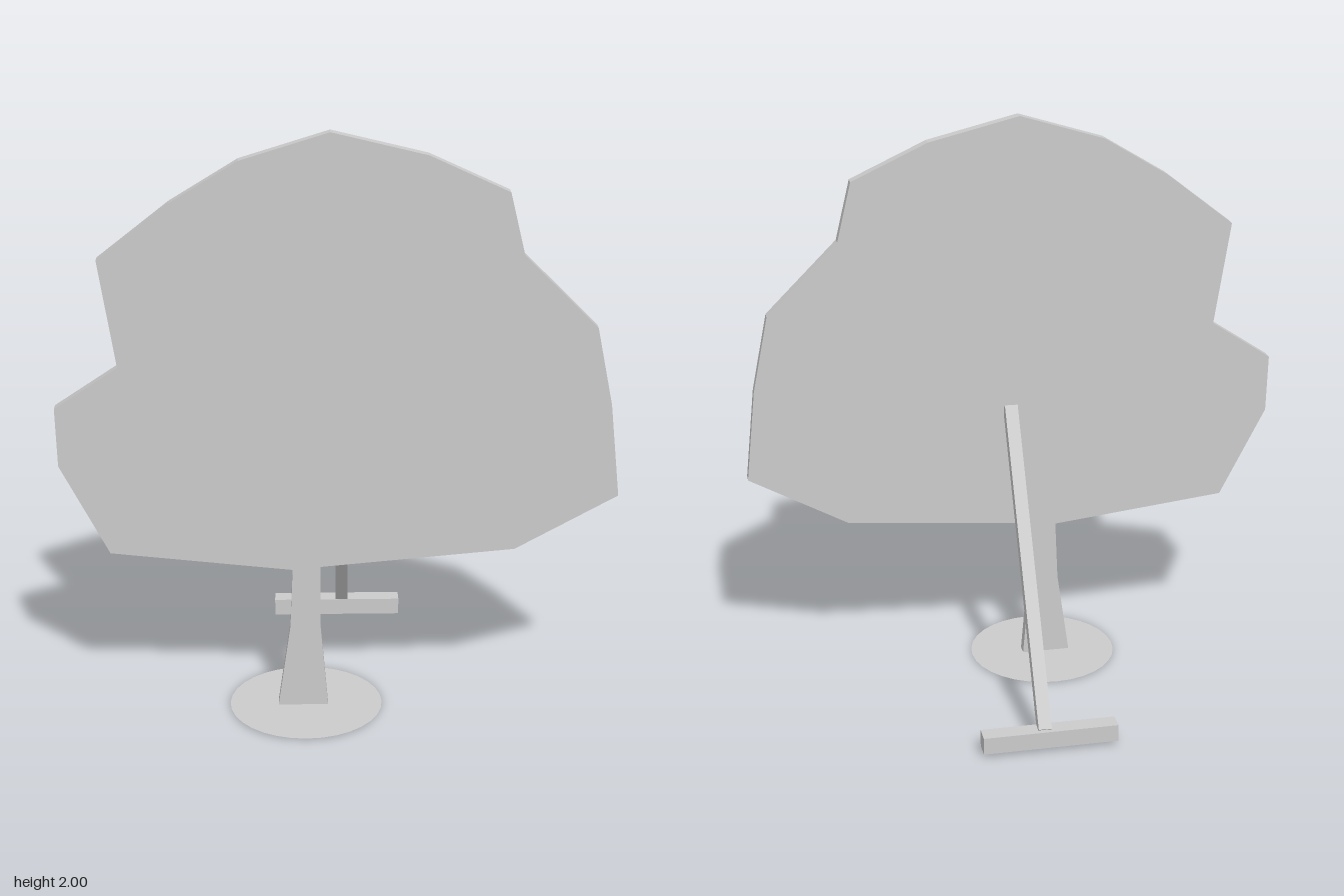
import * as THREE from 'three';

const grey = new THREE.MeshStandardMaterial({ color: 0xcccccc, flatShading: true });
const thinGrey = new THREE.MeshStandardMaterial({ color: 0xcccccc, side: THREE.DoubleSide });

const PANEL_Z = 0.23;
const PANEL_DEPTH = 0.04;

function addMesh(group, name, geometry, material = grey) {
  const mesh = new THREE.Mesh(geometry, material);
  mesh.name = name;
  group.add(mesh);
  return mesh;
}

// Square bar running between two points
function addBar(group, name, from, to, width) {
  const along = to.clone().sub(from);
  const bar = addMesh(group, name, new THREE.BoxGeometry(width, width, along.length()));
  bar.position.copy(from).addScaledVector(along, 0.5);
  bar.lookAt(to);
  return bar;
}

export function createModel() {
  const model = new THREE.Group();
  model.name = 'treeCutout';

  // Flat tree outline: trunk and crown cut from one board
  const trunkRight = [[-0.21, 0], [-0.04, 0], [-0.065, 0.3], [-0.065, 0.52]];
  const crown = [
    [0.585, 0.58], [0.925, 0.77], [0.89, 1.09], [0.835, 1.355], [0.59, 1.6],
    [0.54, 1.805], [0.28, 1.925], [-0.03, 2], [-0.32, 1.91], [-0.54, 1.775],
    [-0.775, 1.59], [-0.72, 1.23], [-0.93, 1.09], [-0.925, 0.89], [-0.765, 0.577],
  ];
  const trunkLeft = [[-0.158, 0.51], [-0.167, 0.3]];
  const outline = [...trunkRight, ...crown, ...trunkLeft].map(([x, y]) => new THREE.Vector2(x, y));
  const board = addMesh(model, 'treeBoard', new THREE.ExtrudeGeometry(
    new THREE.Shape(outline), { depth: PANEL_DEPTH, bevelEnabled: false }));
  board.position.z = PANEL_Z - PANEL_DEPTH / 2;

  // Thin round ground disc under the trunk
  const disc = addMesh(model, 'groundDisc', new THREE.CircleGeometry(0.26, 32), thinGrey);
  disc.rotation.x = -Math.PI / 2;
  disc.position.set(-0.115, 0.004, PANEL_Z);

  // Slanted prop behind the board
  addBar(model, 'backStrut',
    new THREE.Vector3(0.005, 0.972, 0.208), new THREE.Vector3(0.024, 0.07, -0.469), 0.045);

  // Crossbar foot of the prop
  const foot = addMesh(model, 'strutFoot', new THREE.BoxGeometry(0.46, 0.06, 0.06));
  foot.position.set(0.005, 0.046, -0.465);

  return model;
}
